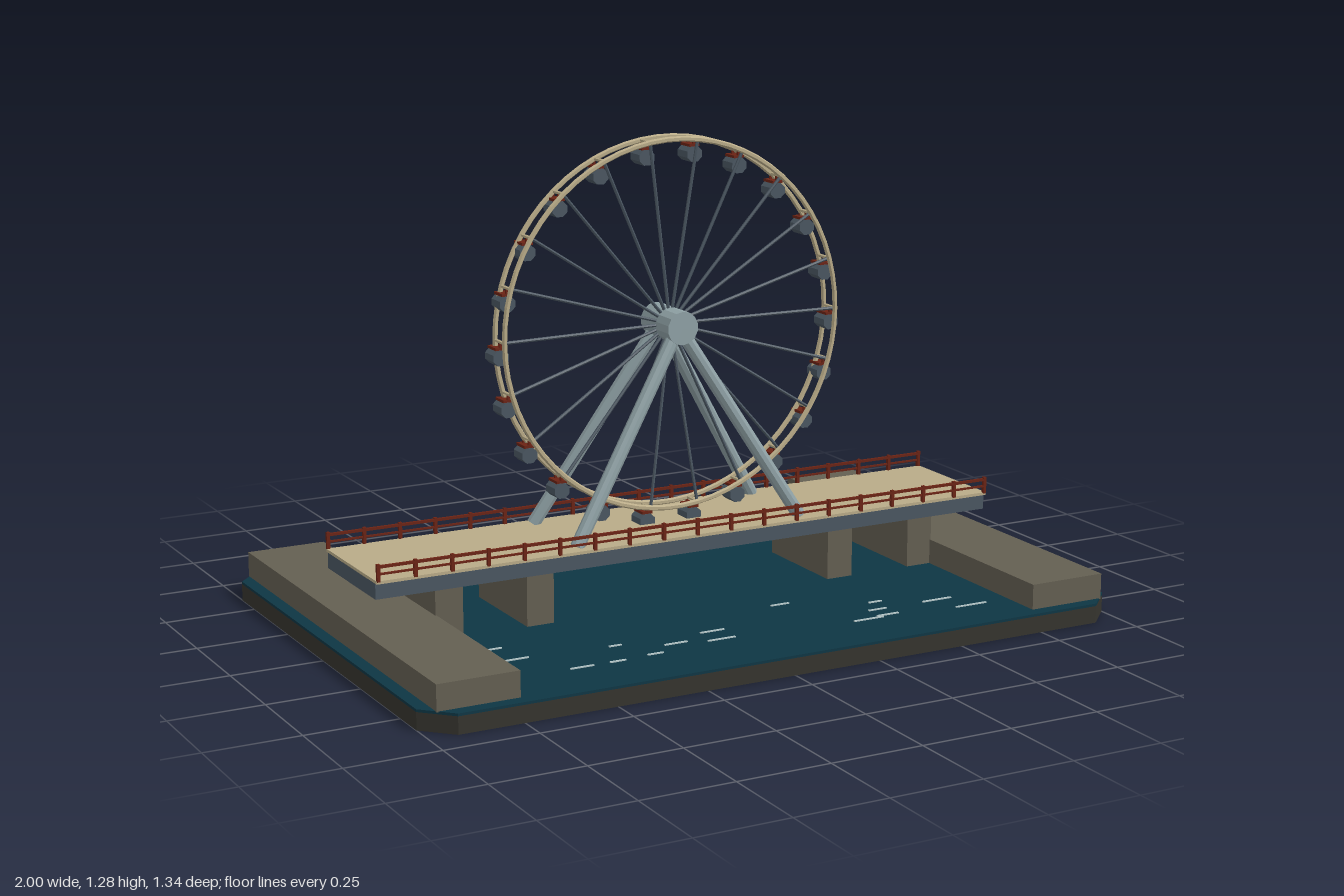
import * as THREE from 'three';

const mat = (name, color) => {
  const m = new THREE.MeshStandardMaterial({ color, flatShading: true });
  m.name = name;
  return m;
};

export function createModel() {
  const stone = mat('stone', 0x645f52);
  const earth = mat('dark base', 0x35342e);
  const water = mat('water', 0x0e3644);
  const planks = mat('cream', 0xb9ab88);
  const steel = mat('pale steel', 0x8fa1a5);
  const slate = mat('slate', 0x4a5661);
  const red = mat('dark red', 0x6b2314);
  const foam = mat('foam', 0xb4c6c8);

  const model = new THREE.Group();
  model.name = 'pierFerrisWheel';

  const add = (parent, name, geometry, material, x = 0, y = 0, z = 0) => {
    const m = new THREE.Mesh(geometry, material);
    m.name = name;
    m.position.set(x, y, z);
    parent.add(m);
    return m;
  };
  const box = (parent, name, material, w, h, d, x, y, z) =>
    add(parent, name, new THREE.BoxGeometry(w, h, d), material, x, y, z);
  // Round bar between two points
  const bar = (parent, name, material, a, b, r, sides) => {
    const dir = new THREE.Vector3().subVectors(b, a);
    const m = add(parent, name, new THREE.CylinderGeometry(r, r, dir.length(), sides), material);
    m.position.addVectors(a, b).multiplyScalar(0.5);
    m.quaternion.setFromUnitVectors(new THREE.Vector3(0, 1, 0), dir.normalize());
    return m;
  };
  const V = (x, y, z) => new THREE.Vector3(x, y, z);

  // Base slab with cut corners, topped by water
  const slab = (name, material, y, h) => {
    const X = 1, Z = 0.67, c = 0.075;
    const s = new THREE.Shape([
      [X - c, -Z], [X, -Z + c], [X, Z - c], [X - c, Z],
      [-X + c, Z], [-X, Z - c], [-X, -Z + c], [-X + c, -Z],
    ].map(([px, py]) => new THREE.Vector2(px, py)));
    const g = new THREE.ExtrudeGeometry(s, { depth: h, bevelEnabled: false });
    g.rotateX(-Math.PI / 2);
    add(model, name, g, material, 0, y, 0);
  };
  slab('base', earth, 0, 0.046);
  slab('water', water, 0.046, 0.007);

  // Foam streaks: x, z, length
  const streaks = [
    [-0.67, 0.27, 0.09], [-0.71, 0.32, 0.065], [-0.64, 0.37, 0.085], [-0.365, 0.39, 0.035],
    [-0.22, 0.445, 0.065], [-0.09, 0.4, 0.07], [-0.1, 0.468, 0.08], [-0.515, 0.503, 0.065],
    [-0.415, 0.503, 0.045], [-0.305, 0.495, 0.045], [0.18, 0.283, 0.055], [0.415, 0.382, 0.04],
    [0.385, 0.442, 0.055], [0.385, 0.492, 0.065], [0.32, 0.503, 0.09], [0.57, 0.443, 0.09],
    [0.625, 0.524, 0.095],
  ];
  for (const [x, z, len] of streaks) box(model, 'foamStreak', foam, len, 0.003, 0.006, x, 0.0545, z);

  // Quays and bridge piers
  for (const s of [-1, 1]) {
    box(model, 'quay', stone, 0.22, 0.07, 1.27, s * 0.855, 0.086, 0);
    for (const x of [0.71, 0.453]) box(model, 'pier', stone, 0.077, 0.14, 0.3, s * x, 0.122, -0.01);
  }

  // Deck
  const zc = -0.009;
  box(model, 'deckBeam', slate, 1.83, 0.042, 0.318, 0, 0.211, zc);
  box(model, 'deckBoards', planks, 1.83, 0.008, 0.338, 0, 0.236, zc);

  // Railings along both long edges
  for (const s of [-1, 1]) {
    const rail = new THREE.Group();
    rail.name = 'railing';
    rail.position.z = zc + s * 0.168;
    model.add(rail);
    box(rail, 'topRail', red, 1.83, 0.007, 0.008, 0, 0.277, 0);
    box(rail, 'midRail', red, 1.83, 0.005, 0.006, 0, 0.258, 0);
    for (let i = 0; i < 19; i++) {
      box(rail, 'railPost', red, 0.009, 0.046, 0.009, -0.91 + (i * 1.82) / 18, 0.261, 0);
    }
  }

  // Support legs splayed from the hub
  for (const sx of [-1, 1]) {
    bar(model, 'supportLeg', steel, V(0, 0.78, 0.052), V(sx * 0.335, 0.24, 0.117), 0.019, 10);
    bar(model, 'supportLeg', steel, V(0, 0.78, -0.05), V(sx * 0.335, 0.24, -0.145), 0.019, 10);
  }

  // Wheel
  const wheel = new THREE.Group();
  wheel.name = 'wheel';
  wheel.position.y = 0.78;
  model.add(wheel);
  const hub = add(wheel, 'hub', new THREE.CylinderGeometry(0.045, 0.045, 0.154, 14), steel);
  hub.rotation.x = Math.PI / 2;

  const R = 0.495, N = 22;
  for (const z of [0.03, -0.028]) {
    add(wheel, 'rim', new THREE.TorusGeometry(R, 0.0075, 6, 66), planks, 0, 0, z);
  }

  // Cabin parts share geometry
  const bodyGeo = new THREE.CylinderGeometry(0.024, 0.024, 0.053, 8);
  bodyGeo.rotateZ(0);
  bodyGeo.rotateY(Math.PI / 8);
  bodyGeo.rotateX(Math.PI / 2);
  bodyGeo.scale(0.98, 0.92, 1);

  for (let i = 0; i < N; i++) {
    const a = ((i + 0.5) / N) * Math.PI * 2;
    const x = Math.sin(a), y = Math.cos(a);
    bar(wheel, 'spoke', slate, V(x * 0.03, y * 0.03, 0.005), V(x * R, y * R, 0.026), 0.0045, 6);
    bar(wheel, 'crossbar', planks, V(x * R, y * R, 0.03), V(x * R, y * R, -0.028), 0.005, 6);

    // Cabin hangs upright below its crossbar
    const cabin = new THREE.Group();
    cabin.name = 'cabin';
    cabin.position.set(x * R, y * R - 0.042, -0.017);
    wheel.add(cabin);
    add(cabin, 'cabinBody', bodyGeo, slate);
    box(cabin, 'cabinRoof', red, 0.03, 0.007, 0.05, 0, 0.0235, 0);
    for (const z of [-0.012, 0.02]) box(cabin, 'hanger', red, 0.006, 0.022, 0.006, 0, 0.034, z);
  }
  return model;
}
